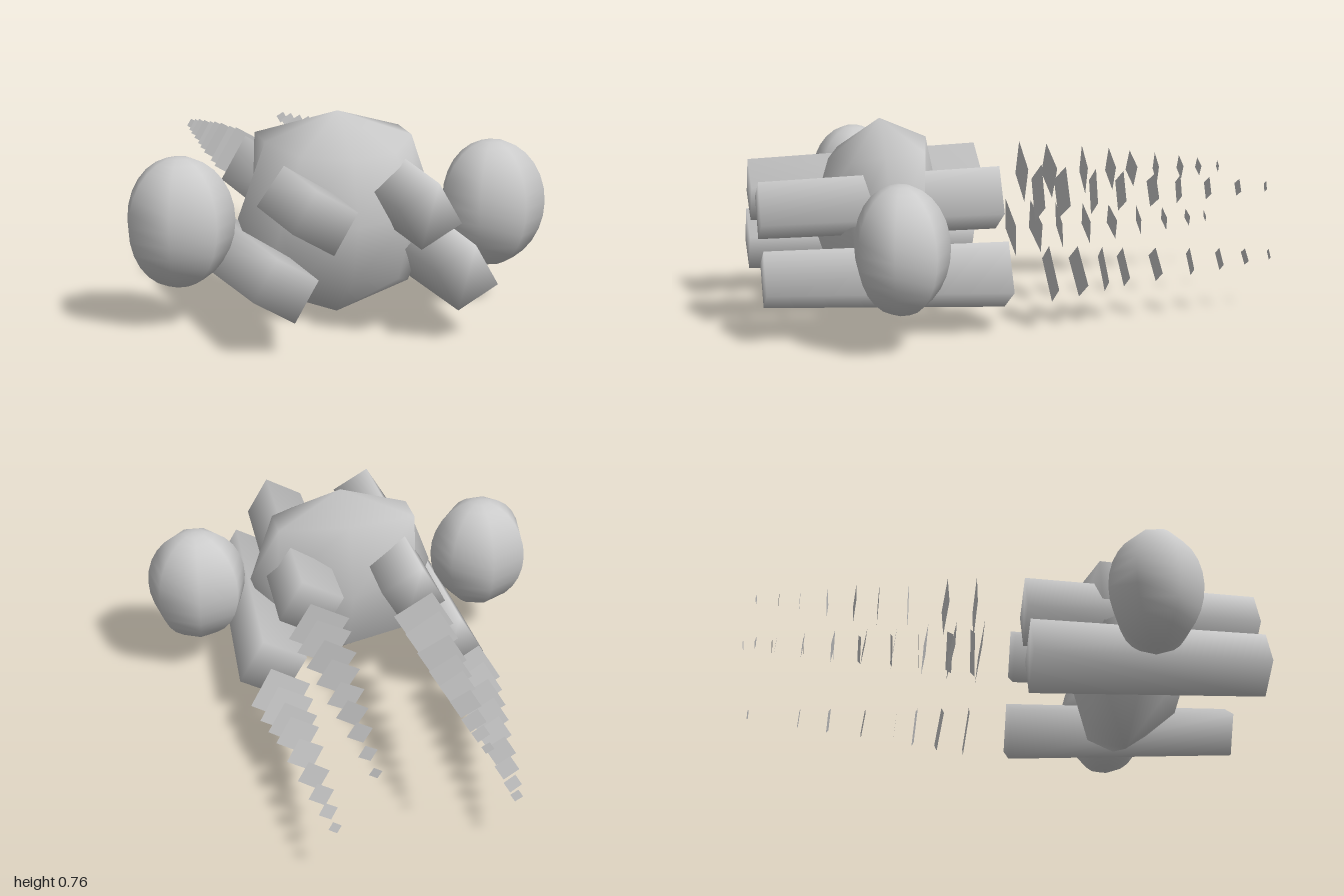
import * as THREE from 'three';
import { mergeVertices } from 'three/addons/utils/BufferGeometryUtils.js';

const material = new THREE.MeshStandardMaterial({ color: 0xcccccc });
const thin = new THREE.MeshStandardMaterial({ color: 0xcccccc, side: THREE.DoubleSide });
const TILT = Math.PI / 6;

// Smooth faceted hull: mirrored half rings [x, y, z] running from back to front, top to bottom.
function hullGeometry() {
  const halves = [
    Array(5).fill([0, 0.76, 0.51]),
    [[0, 0.68, 0.33], [0.28, 0.67, 0.38], [0.28, 0.66, 0.53], [0.18, 0.62, 0.65], [0, 0.61, 0.71]],
    [[0, 0.38, 0.27], [0.29, 0.4, 0.39], [0.38, 0.38, 0.52], [0.25, 0.38, 0.66], [0, 0.38, 0.78]],
    [[0, 0.1, 0.37], [0.24, 0.13, 0.4], [0.28, 0.1, 0.51], [0.2, 0.14, 0.63], [0, 0.16, 0.71]],
    Array(5).fill([0, 0, 0.51]),
  ];
  const rings = halves.map((h) => [...h, ...[3, 2, 1].map((i) => [-h[i][0], h[i][1], h[i][2]])]);
  const index = [];
  for (let r = 0; r < 4; r++) {
    for (let i = 0; i < 8; i++) {
      const a = r * 8 + i, b = r * 8 + ((i + 1) % 8);
      if (r > 0) index.push(a, b, b + 8);
      if (r < 3 || r === 0) index.push(a, b + 8, a + 8);
    }
  }
  let g = new THREE.BufferGeometry();
  g.setAttribute('position', new THREE.Float32BufferAttribute(rings.flat(2), 3));
  g.setIndex(index);
  g = mergeVertices(g);
  g.computeVertexNormals();
  return g;
}

// Square beam between two end centres [x, y, z, side], turned about z, with shared smooth normals.
function beamGeometry(front, back, turn) {
  let g = new THREE.BoxGeometry(1, 1, 1);
  g.deleteAttribute('normal');
  g.deleteAttribute('uv');
  g = mergeVertices(g);
  g.rotateZ(turn);
  const p = g.attributes.position;
  for (let i = 0; i < p.count; i++) {
    const [x, y, z, s] = p.getZ(i) > 0 ? front : back;
    p.setXYZ(i, x + p.getX(i) * s, y + p.getY(i) * s, z);
  }
  g.computeVertexNormals();
  return g;
}

// Rows of loose square plates trailing behind each beam: centre path and z of every plate.
const trails = [
  { name: 'upperRight', from: [-0.2, 0.48], to: [-0.22, 0.46], lean: 0.03,
    z: [-0.1, -0.215, -0.36, -0.475, -0.565, -0.67, -0.775, -0.855, -0.94] },
  { name: 'lowerRight', from: [-0.4, 0.2], to: [-0.34, 0.22], lean: 0.13,
    z: [-0.1, -0.205, -0.305, -0.42, -0.53, -0.645, -0.755, -0.855, -0.93] },
  { name: 'upperLeft', from: [0.21, 0.48], to: [0.2, 0.46], lean: -0.04,
    z: [-0.07, -0.165, -0.29, -0.4, -0.53, -0.635, -0.755, -0.88, -0.995] },
  { name: 'lowerLeft', from: [0.37, 0.2], to: [0.34, 0.22], lean: 0.12,
    z: [-0.08, -0.19, -0.29, -0.37, -0.5, -0.64, -0.76, -0.865, -0.965] },
];

export function createModel() {
  const model = new THREE.Group();
  const add = (name, geometry, parent = model, mat = material) => {
    const mesh = new THREE.Mesh(geometry, mat);
    mesh.name = name;
    parent.add(mesh);
    return mesh;
  };

  add('hull', hullGeometry());

  for (const side of [-1, 1]) {
    const label = side > 0 ? 'Left' : 'Right';

    // Rounded side pods
    const pod = new THREE.SphereGeometry(1, 7, 14, -Math.PI / 2 - side * 0.08);
    pod.scale(0.205, 0.24, 0.18);
    add('pod' + label, pod).position.set(side * 0.6, 0.385, 0.53);

    // Long beams running through the hull
    add('upperBeam' + label, beamGeometry(
      [side * 0.19, 0.46, 1, 0.17], [side * 0.207, 0.47, 0.09, 0.19], side * TILT));
    add('lowerBeam' + label, beamGeometry(
      [side * 0.33, 0.23, 1, 0.17], [side * 0.367, 0.208, 0.09, 0.2], side * TILT));
  }

  // Shrinking trail plates, each leaning slightly
  for (const t of trails) {
    const row = new THREE.Group();
    row.name = t.name + 'Trail';
    model.add(row);
    t.z.forEach((z, i) => {
      const k = i / (t.z.length - 1);
      const size = THREE.MathUtils.lerp(0.175, 0.035, k);
      const plate = add('trailPlate', new THREE.PlaneGeometry(size, size), row, thin);
      plate.position.set(
        THREE.MathUtils.lerp(t.from[0], t.to[0], k),
        THREE.MathUtils.lerp(t.from[1], t.to[1], k), z);
      plate.rotation.set(t.lean, 0.08 * Math.sin(i * 2.1), Math.sign(t.from[0]) * TILT);
    });
  }
  return model;
}
